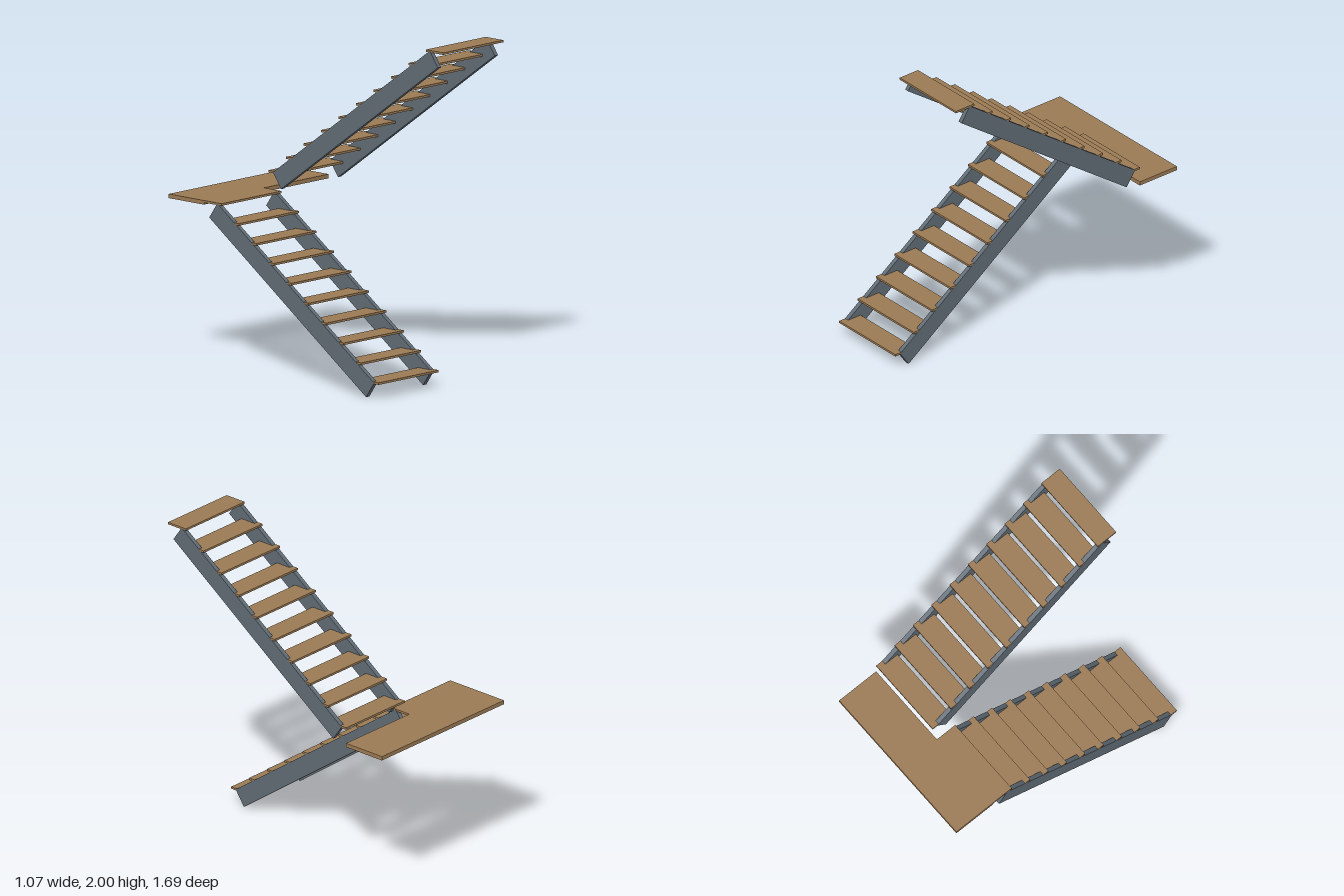
import * as THREE from 'three';

const STEPS = 10, RISE = 0.1, RUN = 0.141;
const WIDTH = 0.518, STRINGER = 0.028, CENTRE = 0.278, FRONT = 0.847;

const wood = new THREE.MeshStandardMaterial({ color: 0x9b7a54 });
const steel = new THREE.MeshStandardMaterial({ color: 0x606b74 });

function box(name, w, h, d, x, top, z) {
  const mesh = new THREE.Mesh(new THREE.BoxGeometry(w, h, d), wood);
  mesh.name = name;
  mesh.position.set(x, top - h / 2, z);
  return mesh;
}

// Sloping side beam with square-cut ends; shape is drawn in (-z, y)
function stringerGeometry() {
  const shape = new THREE.Shape([
    [-0.746, 0], [0.52, 0.904], [0.455, 0.997], [-0.811, 0.093],
  ].map(([a, b]) => new THREE.Vector2(a, b)));
  const geo = new THREE.ExtrudeGeometry(shape, { depth: STRINGER, bevelEnabled: false });
  geo.translate(0, 0, -STRINGER / 2);
  return geo.rotateY(Math.PI / 2);
}

// One straight flight climbing towards -z
function createFlight(name) {
  const flight = new THREE.Group();
  flight.name = name;
  for (let i = 0; i < STEPS; i++) {
    flight.add(box('tread', WIDTH - 0.001, 0.013, RUN, 0, RISE * (i + 1), FRONT - RUN * (i + 0.5)));
  }
  const geo = stringerGeometry();
  for (const side of [-1, 1]) {
    const stringer = new THREE.Mesh(geo, steel);
    stringer.name = side < 0 ? 'rightStringer' : 'leftStringer';
    stringer.position.x = side * (WIDTH - STRINGER) / 2;
    flight.add(stringer);
  }
  return flight;
}

export function createModel() {
  const model = new THREE.Group();
  model.name = 'switchbackStaircase';

  const lower = createFlight('lowerFlight');
  lower.position.x = -CENTRE;

  // Upper flight turns back and climbs towards +z
  const landingFront = FRONT - RUN * STEPS;
  const upper = createFlight('upperFlight');
  upper.rotation.y = Math.PI;
  upper.position.set(CENTRE, 1, landingFront + FRONT);

  // Half landing joining both flights
  const depth = landingFront + FRONT;
  const landing = box('landing', 2 * CENTRE + WIDTH, 0.025, depth, 0, 1, landingFront - depth / 2);

  model.add(lower, upper, landing);
  return model;
}
